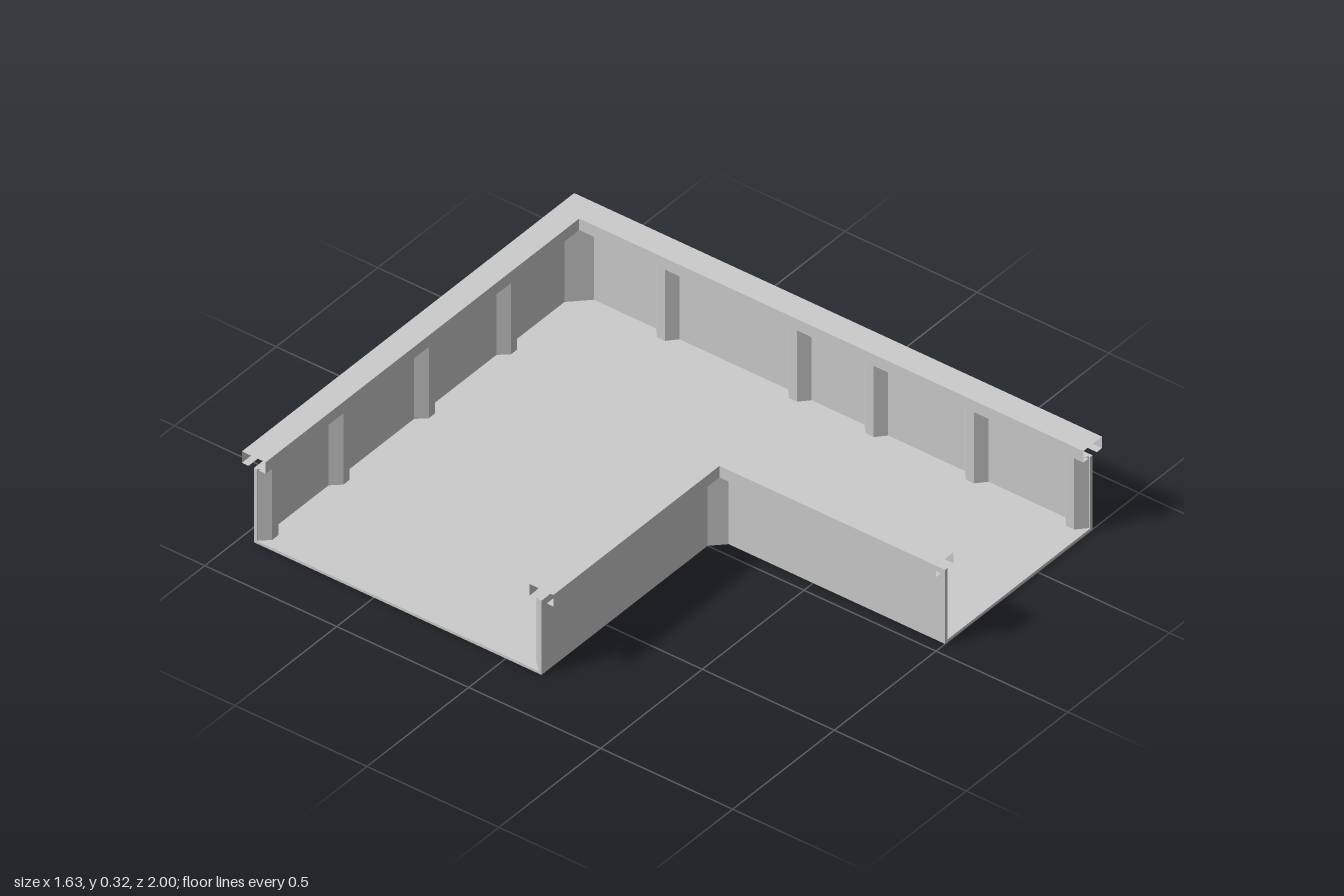
import * as THREE from 'three';

const X0 = -0.817, Z1 = 1; // open ends of the two arms
const WALL_H = 0.278, CAP_H = 0.32;
const SKIN = 0.012, RIB = 0.045; // wall thickness between ribs and at ribs

const material = new THREE.MeshStandardMaterial({
  color: 0xcccccc, flatShading: true, side: THREE.DoubleSide,
});

function addMesh(group, name, geometry) {
  const mesh = new THREE.Mesh(geometry, material);
  mesh.name = name;
  group.add(mesh);
}

// Extrudes a plan outline of [x, z] points upwards from the ground
function extrudePlan(points, height) {
  const shape = new THREE.Shape(points.map(([x, z]) => new THREE.Vector2(x, -z)));
  const geometry = new THREE.ExtrudeGeometry(shape, { depth: height, bevelEnabled: false });
  return geometry.rotateX(-Math.PI / 2);
}

// Ribbed inner line of one wall; place(s, o) maps distance along and offset inward
function ribs(centres, direction, place) {
  const profile = [[-0.045, SKIN], [-0.015, RIB], [0.015, RIB], [0.045, SKIN]];
  return centres.flatMap((c) => profile.map(([s, o]) => place(c + s * direction, o)));
}

// Sweeps an open channel section between paired inner and outer stations
function channel(stations) {
  const section = [[0.28, 0.277], [0, 0.277], [0, CAP_H], [1, CAP_H], [1, 0.277], [0.72, 0.277]];
  const positions = [];
  const at = ([a, b], [t, y]) => [a[0] + (b[0] - a[0]) * t, y, a[1] + (b[1] - a[1]) * t];
  for (let i = 0; i < stations.length - 1; i++) {
    for (let j = 0; j < section.length - 1; j++) {
      const a = at(stations[i], section[j]), b = at(stations[i + 1], section[j]);
      const c = at(stations[i + 1], section[j + 1]), d = at(stations[i], section[j + 1]);
      positions.push(...a, ...b, ...c, ...a, ...c, ...d);
    }
  }
  const geometry = new THREE.BufferGeometry();
  geometry.setAttribute('position', new THREE.Float32BufferAttribute(positions, 3));
  geometry.computeVertexNormals();
  return geometry;
}

export function createModel() {
  const group = new THREE.Group();
  group.name = 'cornerBalcony';

  // Outside faces of the two walls in plan
  const longOuter = [[X0, -0.955], [0.77, -0.955], [0.77, Z1]];
  const shortOuter = [[X0, 0.135], [0, 0.135], [0.045, 0.18], [0.045, Z1]];

  // L-shaped floor slab
  addMesh(group, 'floor', extrudePlan([...longOuter, ...[...shortOuter].reverse()], 0.01));

  // Long wall round the outer corner, with a chamfered inside corner
  const longInner = [
    [X0, -0.955 + SKIN],
    ...ribs([-0.77, -0.42, 0, 0.405], 1, (s, o) => [s, -0.955 + o]),
    [0.695, -0.955 + SKIN], [0.77 - SKIN, -0.88],
    ...ribs([-0.6, -0.1, 0.19, 0.57, 0.95], 1, (s, o) => [0.77 - o, s]),
    [0.77 - SKIN, Z1],
  ];
  addMesh(group, 'longWall', extrudePlan([...longOuter, ...longInner.reverse()], WALL_H));

  // Short wall round the notch
  const shortInner = [
    [X0, 0.135 - SKIN],
    ...ribs([-0.77, -0.4], 1, (s, o) => [s, 0.135 - o]),
    [-0.045, 0.135 - SKIN], [0, 0.09], [0.09, 0.18], [0.045 + SKIN, 0.225],
    ...ribs([0.57, 0.95], 1, (s, o) => [0.045 + o, s]),
    [0.045 + SKIN, Z1],
  ];
  addMesh(group, 'shortWall', extrudePlan([...shortOuter, ...shortInner.reverse()], WALL_H));

  // Hollow coping rails with inturned lips, open at the arm ends
  addMesh(group, 'longCoping', channel([
    [[X0, -0.91], [X0, -1]],
    [[0.725, -0.91], [0.817, -1]],
    [[0.725, Z1], [0.817, Z1]],
  ]));
  addMesh(group, 'shortCoping', channel([
    [[X0, 0.09], [X0, 0.18]],
    [[0, 0.09], [0, 0.18]],
    [[0.087, 0.18], [0, 0.18]],
    [[0.087, Z1], [0, Z1]],
  ]));

  return group;
}
